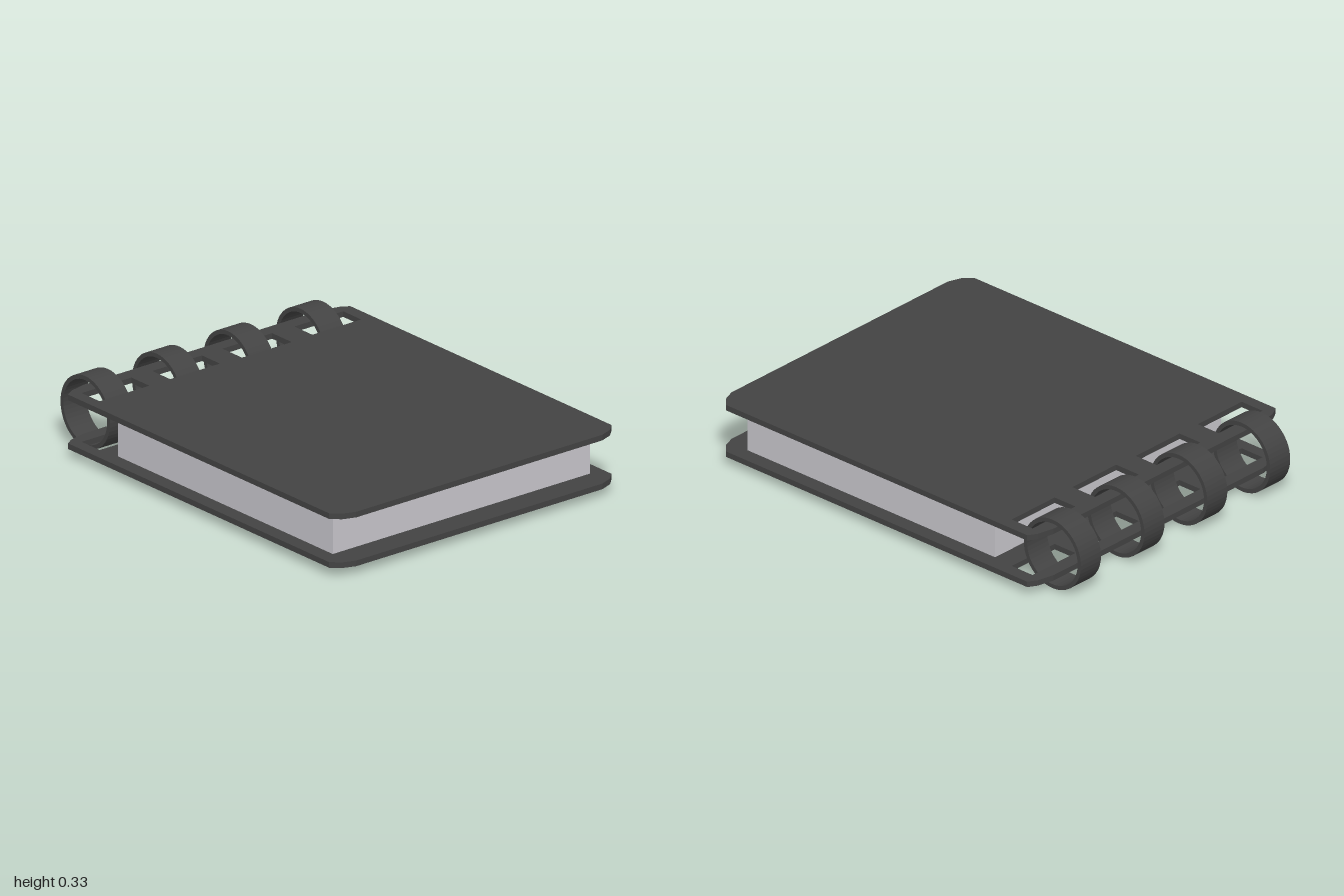
import * as THREE from 'three';

const coverMat = new THREE.MeshStandardMaterial({ color: 0x434343 });
coverMat.name = 'charcoal';
const pageMat = new THREE.MeshStandardMaterial({ color: 0xc8c6cc });
pageMat.name = 'paper grey';

// Ring slots: x range, front and back z
const slots = [
  [-0.725, -0.45, -0.655, -0.775],
  [-0.335, -0.06, -0.655, -0.775],
  [0.055, 0.33, -0.647, -0.778],
  [0.45, 0.72, -0.655, -0.775],
];
const ringX = [-0.592, -0.197, 0.198, 0.597];

// Cover outline drawn in x and -z, with clipped corners and slots
function coverGeometry(thickness) {
  const right = [
    [0.68, -1], [0.74, -0.978], [0.78, -0.94],
    [0.78, 0.8], [0.74, 0.824], [0.66, 0.842],
  ];
  const left = right.map(([x, y]) => [-x, y]).reverse();
  const shape = new THREE.Shape([...right, ...left].map(([x, y]) => new THREE.Vector2(x, y)));
  for (const [x0, x1, z0, z1] of slots) {
    shape.holes.push(new THREE.Path([
      new THREE.Vector2(x0, -z0), new THREE.Vector2(x0, -z1),
      new THREE.Vector2(x1, -z1), new THREE.Vector2(x1, -z0),
    ]));
  }
  return new THREE.ExtrudeGeometry(shape, { depth: thickness, bevelEnabled: false }).rotateX(-Math.PI / 2);
}

// Flat binding band with its axis along x
function ringGeometry(outer, inner, width) {
  const shape = new THREE.Shape().absarc(0, 0, outer, 0, Math.PI * 2, false);
  shape.holes.push(new THREE.Path().absarc(0, 0, inner, 0, Math.PI * 2, true));
  return new THREE.ExtrudeGeometry(shape, { depth: width, bevelEnabled: false, curveSegments: 24 })
    .translate(0, 0, -width / 2)
    .rotateY(Math.PI / 2);
}

export function createModel() {
  const model = new THREE.Group();
  model.name = 'ringNotebook';
  const add = (name, geometry, material, x, y, z) => {
    const mesh = new THREE.Mesh(geometry, material);
    mesh.name = name;
    mesh.position.set(x, y, z);
    model.add(mesh);
  };

  // Covers
  const cover = coverGeometry(0.026);
  add('backCover', cover, coverMat, 0, 0.039, 0);
  add('frontCover', cover, coverMat, 0, 0.263, 0);

  // Block of pages
  add('pages', new THREE.BoxGeometry(1.42, 0.198, 1.43), pageMat, 0, 0.164, 0.165);

  // Binding rings
  const ring = ringGeometry(0.165, 0.146, 0.126);
  ringX.forEach((x, i) => add(`ring${i + 1}`, ring, coverMat, x, 0.165, -0.835));

  return model;
}
